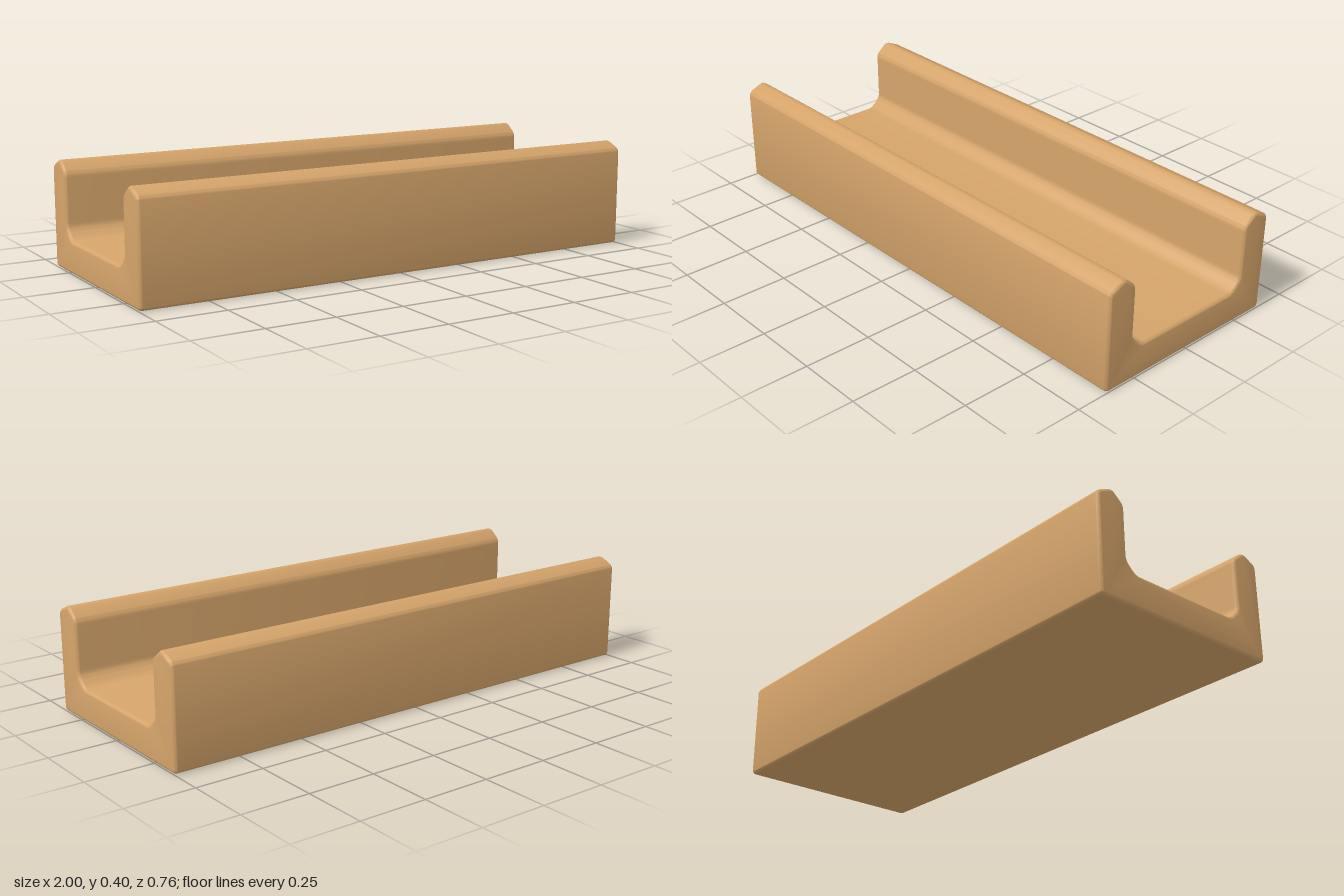
import * as THREE from 'three';
import { toCreasedNormals } from 'three/addons/utils/BufferGeometryUtils.js';

// Closed shape through the corners, each one rounded off by a curve
function roundedShape(corners, cut) {
  const pts = corners.map(([x, y]) => new THREE.Vector2(x, y));
  const shape = new THREE.Shape();
  const toward = (a, b) => a.clone().add(b.clone().sub(a).setLength(cut));
  pts.forEach((p, i) => {
    const start = toward(p, pts[(i + pts.length - 1) % pts.length]);
    const end = toward(p, pts[(i + 1) % pts.length]);
    if (i === 0) shape.moveTo(start.x, start.y);
    else shape.lineTo(start.x, start.y);
    shape.quadraticCurveTo(p.x, p.y, end.x, end.y);
  });
  shape.closePath();
  return shape;
}

export function createModel() {
  const group = new THREE.Group();
  group.name = 'channelBlock';

  const wood = new THREE.MeshStandardMaterial({ color: 0xd4a36a });
  wood.name = 'tan wood';

  // Half of the U section: outer wall, peaked rim, inner wall, chamfered floor
  const half = [
    [0.38, 0], [0.38, 0.37], [0.314, 0.4], [0.262, 0.357],
    [0.262, 0.158], [0.222, 0.12],
  ];
  const mirrored = half.map(([x, y]) => [-x, y]).reverse();
  const section = roundedShape([...half, ...mirrored], 0.018);

  // Run the section along x with softened ends
  const bevel = 0.012;
  const length = 2 - 2 * bevel;
  const geometry = new THREE.ExtrudeGeometry(section, {
    depth: length,
    curveSegments: 5,
    bevelEnabled: true,
    bevelSize: bevel,
    bevelThickness: bevel,
    bevelOffset: -bevel,
    bevelSegments: 4,
  });
  geometry.translate(0, 0, -length / 2);
  geometry.rotateY(Math.PI / 2);

  const channel = new THREE.Mesh(toCreasedNormals(geometry, 0.7), wood);
  channel.name = 'channel';
  group.add(channel);
  return group;
}
